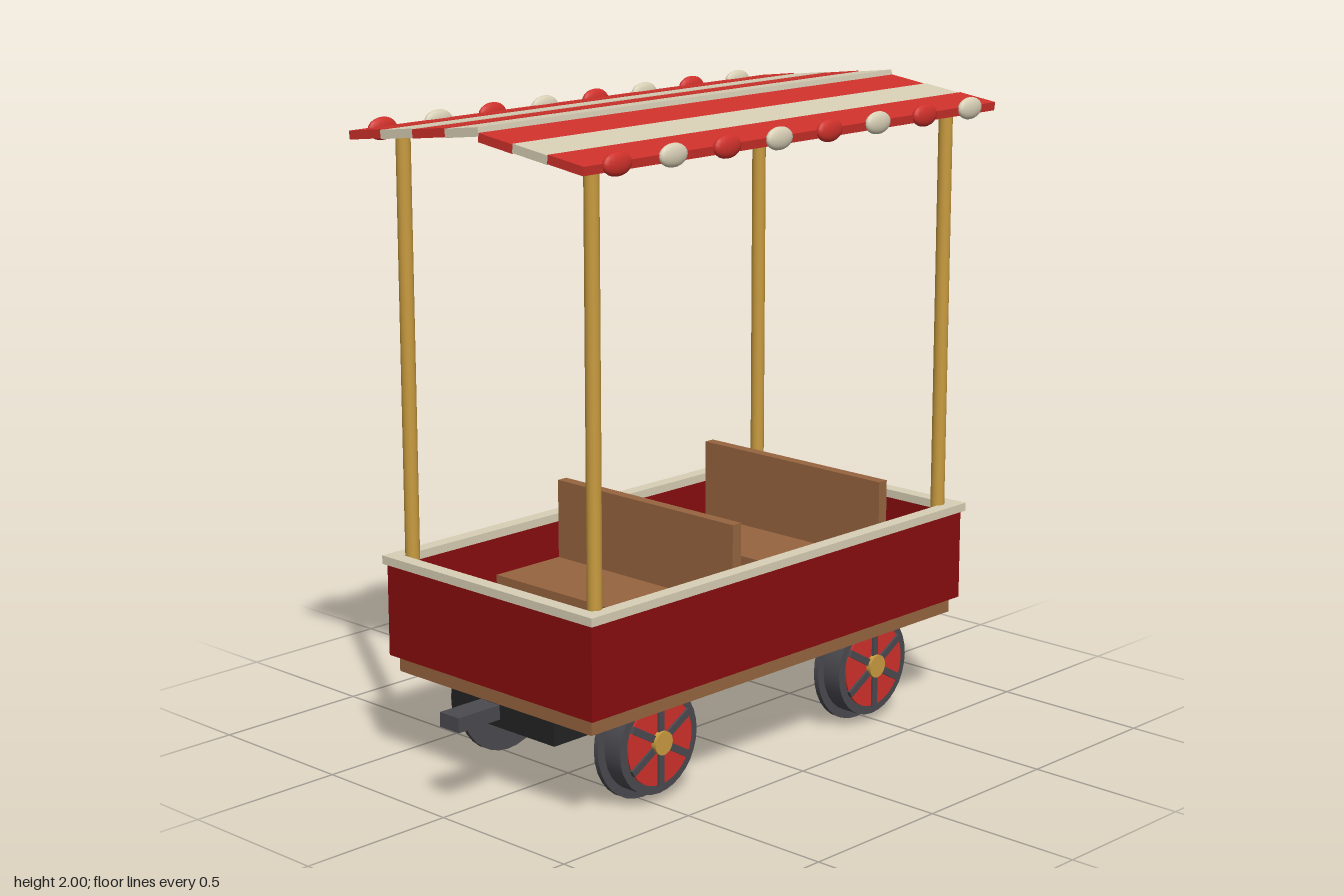
import * as THREE from 'three';

const mat = (name, color) => {
  const m = new THREE.MeshStandardMaterial({ color });
  m.name = name;
  return m;
};

export function createModel() {
  const red = mat('bright red', 0xd0312b);
  const cream = mat('cream', 0xd8cfb5);
  const darkRed = mat('dark red', 0x8a0d0f);
  const wood = mat('wood brown', 0x96643f);
  const brass = mat('brass', 0xc89b3f);
  const iron = mat('iron grey', 0x4b4a50);
  const black = mat('black', 0x232324);

  const model = new THREE.Group();
  model.name = 'openTramCar';

  const add = (name, geo, material, x, y, z, parent = model) => {
    const m = new THREE.Mesh(geo, material);
    m.name = name;
    m.position.set(x, y, z);
    parent.add(m);
    return m;
  };
  const box = (name, material, w, h, d, x, y, z, parent) =>
    add(name, new THREE.BoxGeometry(w, h, d), material, x, y, z, parent);

  // Underframe, floor and couplers
  box('chassis', black, 0.44, 0.09, 1.53, 0, 0.255, 0);
  box('floor', wood, 0.82, 0.05, 1.6, 0, 0.325, 0);

  // Body walls with cream rails on top
  for (const s of [1, -1]) {
    box('coupler', iron, 0.08, 0.045, 0.16, 0, 0.282, s * 0.89);
    box('sideWall', darkRed, 0.03, 0.29, 1.64, s * 0.418, 0.495, 0);
    box('endWall', darkRed, 0.81, 0.29, 0.03, 0, 0.495, s * 0.805);
    box('sideRail', cream, 0.045, 0.026, 1.66, s * 0.422, 0.648, 0);
    box('endRail', cream, 0.80, 0.026, 0.045, 0, 0.648, s * 0.8075);
  }

  // Benches facing forward, each on two block legs
  for (const z of [0.157, -0.51]) {
    const bench = new THREE.Group();
    bench.name = 'bench';
    bench.position.z = z;
    model.add(bench);
    box('benchBack', wood, 0.74, 0.28, 0.036, 0, 0.64, 0, bench);
    box('benchSeat', wood, 0.74, 0.045, 0.3, 0, 0.508, 0.132, bench);
    for (const s of [1, -1])
      box('benchLeg', black, 0.2, 0.136, 0.2, s * 0.22, 0.418, 0.14, bench);
  }

  // Canopy posts
  for (const x of [-0.386, 0.386])
    for (const z of [-0.761, 0.761])
      add('post', new THREE.CylinderGeometry(0.022, 0.022, 1.59, 16), brass, x, 1.14, z);

  // Striped canopy made of seven tilted planks
  for (let i = 0; i < 7; i++) {
    const k = i - 3;
    const plank = box('canopyStripe', i % 2 ? cream : red, 0.138, 0.026, 1.765,
      k * 0.137, 1.976 - 0.0155 * Math.abs(k), 0);
    plank.rotation.z = k <= 0 ? 0.13 : -0.13;
  }

  // Alternating scallops along both canopy edges
  const scallop = new THREE.SphereGeometry(1, 16, 10);
  for (const s of [1, -1])
    for (let i = 0; i < 8; i++)
      add('scallop', scallop, i % 2 ? cream : red, s * 0.481, 1.927, 0.757 - i * 0.2163)
        .scale.set(0.017, 0.034, 0.055);

  // Flanged wheels: each is built along +x and turned round for the other side
  const disc = (name, material, r, x0, x1, parent) => {
    const geo = new THREE.CylinderGeometry(r, r, x1 - x0, 32);
    geo.rotateZ(-Math.PI / 2);
    add(name, geo, material, (x0 + x1) / 2, 0, 0, parent);
  };
  for (const s of [1, -1]) {
    for (const z of [0.481, -0.481]) {
      const wheel = new THREE.Group();
      wheel.name = 'wheel';
      wheel.position.set(0, 0.187, z);
      wheel.rotation.y = s > 0 ? 0 : Math.PI;
      model.add(wheel);
      disc('wheelFlange', iron, 0.187, 0.283, 0.3, wheel);
      disc('wheelTread', iron, 0.16, 0.3, 0.363, wheel);
      disc('wheelFace', red, 0.132, 0.363, 0.369, wheel);
      disc('wheelHub', brass, 0.036, 0.369, 0.385, wheel);
      for (let i = 0; i < 3; i++)
        box('spokePair', iron, 0.012, 0.27, 0.022, 0.37, 0, 0, wheel)
          .rotation.x = i * Math.PI / 3;
    }
  }
  return model;
}
